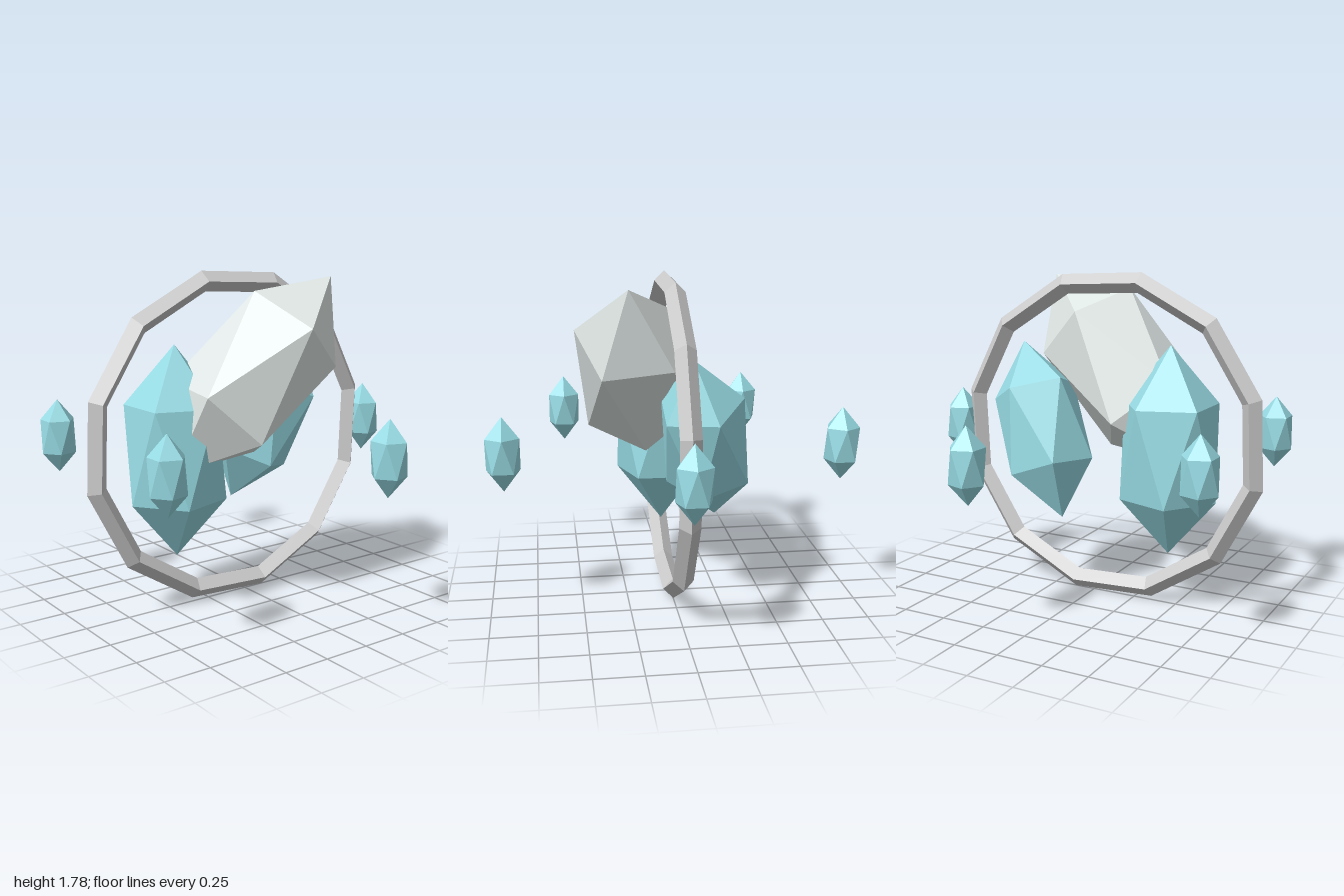
import * as THREE from 'three';
import { ConvexGeometry } from 'three/addons/geometries/ConvexGeometry.js';

const material = (color) => new THREE.MeshStandardMaterial({ color, flatShading: true });
const white = material(0xe0e8e6);
const blue = material(0x98dce5);
const grey = material(0xcccccc);

// Stretched twenty-sided gem: two points and two staggered rings of five
function gemGeometry(halfHeight) {
  const ring = halfHeight * 0.4707, level = halfHeight * 0.4472;
  const points = [new THREE.Vector3(0, halfHeight, 0), new THREE.Vector3(0, -halfHeight, 0)];
  for (let i = 0; i < 10; i++) {
    const a = (i * Math.PI) / 5;
    points.push(new THREE.Vector3(ring * Math.cos(a), i % 2 ? -level : level, ring * Math.sin(a)));
  }
  return new ConvexGeometry(points);
}

// Gem spun about its own axis, then tilted so its tip points along axis
function gem(name, mat, halfHeight, position, axis = [0, 1, 0], spin = 0) {
  const mesh = new THREE.Mesh(gemGeometry(halfHeight), mat);
  const up = new THREE.Vector3(0, 1, 0);
  mesh.quaternion
    .setFromUnitVectors(up, new THREE.Vector3(...axis).normalize())
    .multiply(new THREE.Quaternion().setFromAxisAngle(up, spin));
  mesh.position.set(...position);
  mesh.name = name;
  return mesh;
}

export function createModel() {
  const model = new THREE.Group();
  model.name = 'crystalCluster';
  const cx = -0.08, cy = 0.897;

  // Large crystals
  model.add(
    gem('mainCrystal', white, 0.673, [-0.07, 1.257, 0.178], [0.45, 0.495, 0.08], -0.64),
    gem('uprightCrystal', blue, 0.565, [-0.45, 0.855, 0]),
    gem('tiltedCrystal', blue, 0.496, [0.237, 0.942, -0.15], [0.333, 0.927, 0.171], 0.275)
  );

  // Twelve-sided ring with a diamond section
  const ring = new THREE.Mesh(new THREE.TorusGeometry(0.858, 0.055, 4, 12), grey);
  ring.name = 'ring';
  ring.position.set(cx, cy, 0);
  ring.rotation.z = 0.218;
  model.add(ring);

  // Five small shards circling the cluster
  const shards = new THREE.Group();
  shards.name = 'orbitingShards';
  for (let i = 0; i < 5; i++) {
    const a = (i * Math.PI * 2) / 5;
    shards.add(gem('shard', blue, 0.2, [cx + 0.95 * Math.cos(a), cy, 0.95 * Math.sin(a)]));
  }
  model.add(shards);
  return model;
}
